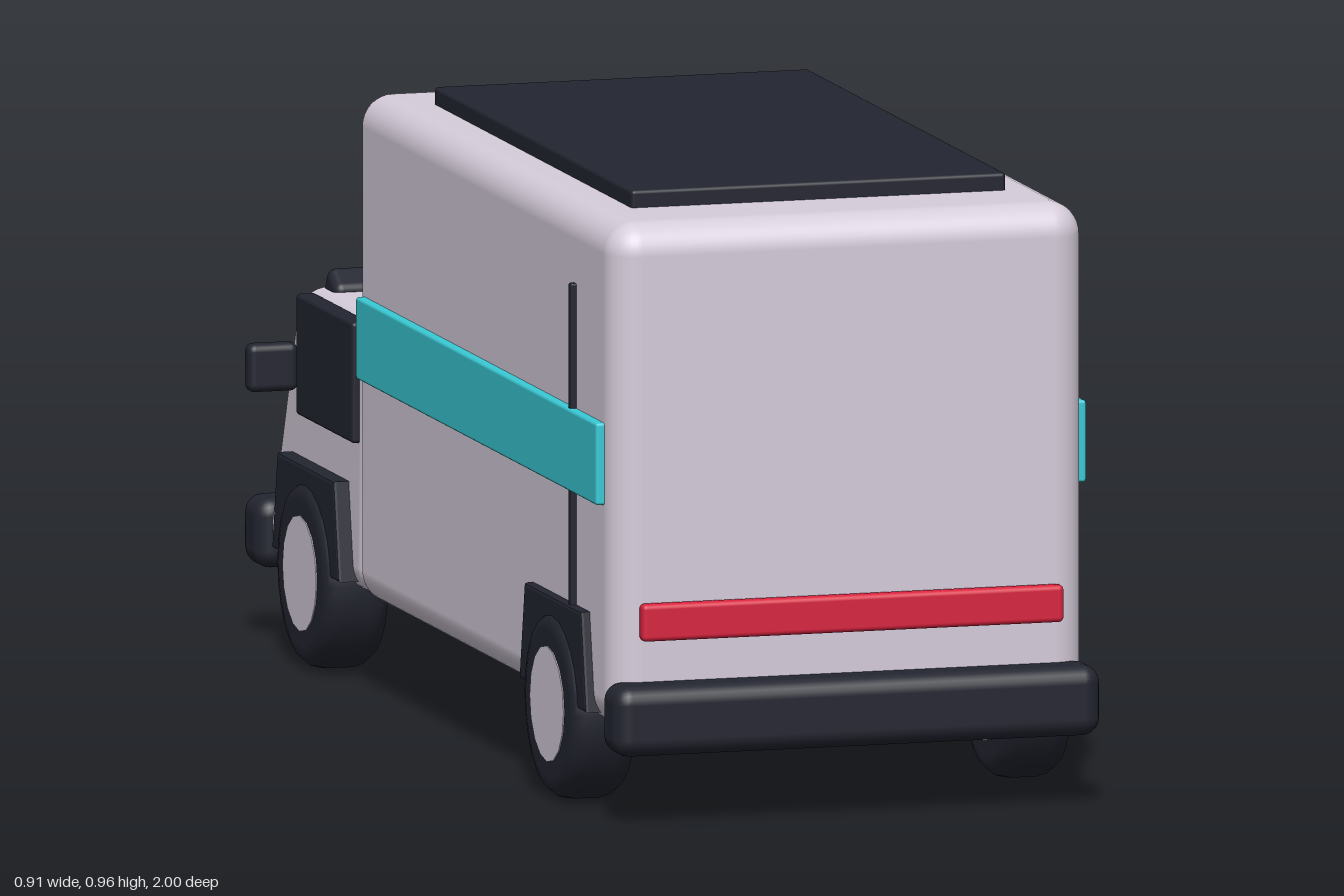
import * as THREE from 'three';
import { mergeVertices } from 'three/addons/utils/BufferGeometryUtils.js';
import { RoundedBoxGeometry } from 'three/addons/geometries/RoundedBoxGeometry.js';

const paint = (name, color) => Object.assign(new THREE.MeshStandardMaterial({ color }), { name });

export function createModel() {
  const van = new THREE.Group();
  van.name = 'van';
  const shell = paint('pale mauve', 0xd6cddb);
  const dark = paint('charcoal', 0x232530);
  const teal = paint('turquoise', 0x3acbd6);
  const red = paint('tail red', 0xd8233f);
  const cream = paint('lamp cream', 0xd0c49a);

  const add = (name, geometry, material) => {
    const mesh = new THREE.Mesh(geometry, material);
    mesh.name = name;
    van.add(mesh);
    return mesh;
  };
  // Rounded box given by its extents on each axis
  const block = (name, material, [x0, x1], [y0, y1], [z0, z1], radius, segments = 3) => {
    const g = new RoundedBoxGeometry(x1 - x0, y1 - y0, z1 - z0, segments, radius);
    g.translate((x0 + x1) / 2, (y0 + y1) / 2, (z0 + z1) / 2);
    return add(name, g, material);
  };

  // Cargo body and roof panel
  block('cargoBody', shell, [-0.38, 0.38], [0.14, 0.93], [-0.43, 0.945], 0.05, 5);
  block('roofPanel', dark, [-0.3, 0.3], [0.92, 0.957], [-0.27, 0.78], 0.006);

  // Cab: a rounded box whose front leans back towards the roof
  const cabRear = -0.4, cabDepth = 0.555;
  const cab = block('cab', shell, [-0.37, 0.37], [0.14, 0.575], [cabRear - cabDepth, cabRear], 0.045, 5);
  const p = cab.geometry.attributes.position;
  for (let i = 0; i < p.count; i++) {
    const rise = (p.getY(i) - 0.14) / 0.435;
    p.setZ(i, cabRear + (p.getZ(i) - cabRear) * (1 - 0.33 * rise));
  }
  cab.geometry.deleteAttribute('normal');
  cab.geometry.deleteAttribute('uv');
  cab.geometry = mergeVertices(cab.geometry);
  cab.geometry.computeVertexNormals();

  // Tilted windscreen, emerging at the roof and low on the nose
  const screen = add('windscreen', new RoundedBoxGeometry(0.67, 0.255, 0.06, 3, 0.015), dark);
  screen.position.set(0, 0.487, -0.767);
  screen.rotation.x = 0.55;

  // Bumpers and lamps
  block('rearBumper', dark, [-0.39, 0.39], [0.11, 0.22], [0.91, 1], 0.028);
  block('frontBumper', dark, [-0.39, 0.39], [0.11, 0.22], [-1, -0.91], 0.028);
  block('tailLight', red, [-0.338, 0.338], [0.285, 0.343], [0.942, 0.966], 0.008);

  // Wheel arch outline, across z and up y
  const archShape = new THREE.Shape([[-0.172, 0.165], [0.172, 0.165], [0.146, 0.308], [-0.146, 0.308]]
    .map(([a, b]) => new THREE.Vector2(a, b)));
  const archGeometry = new THREE.ExtrudeGeometry(archShape, {
    depth: 0.04, bevelThickness: 0.005, bevelSize: 0.005, bevelSegments: 2,
  });
  archGeometry.rotateY(Math.PI / 2).translate(-0.02, 0, 0);

  // Tyre cross-section with rounded shoulders
  const tyreGeometry = new THREE.LatheGeometry([
    [0, -0.05], [0.115, -0.053], [0.133, -0.049], [0.144, -0.036], [0.148, -0.02],
    [0.148, 0.02], [0.144, 0.036], [0.133, 0.049], [0.115, 0.053], [0, 0.05],
  ].map(([r, w]) => new THREE.Vector2(r, w)), 24).rotateZ(-Math.PI / 2);
  const hubGeometry = new THREE.CylinderGeometry(0.09, 0.09, 0.108, 16).rotateZ(-Math.PI / 2);

  for (const [side, s] of [['left', 1], ['right', -1]]) {
    const span = (a, b) => (s > 0 ? [a, b] : [-b, -a]);
    block(side + 'Stripe', teal, span(0.37, 0.393), [0.49, 0.618], [-0.38, 0.9], 0.005);
    block(side + 'DoorSeam', dark, span(0.37, 0.389), [0.2, 0.812], [0.738, 0.753], 0.003);
    block(side + 'CabWindow', dark, span(0.35, 0.382), [0.38, 0.568], [-0.735, -0.435], 0.006);
    block(side + 'Mirror', dark, span(0.375, 0.455), [0.415, 0.49], [-0.772, -0.738], 0.012);
    block(side + 'Headlight', cream, span(0.17, 0.328), [0.24, 0.294], [-0.986, -0.964], 0.006);
    for (const [end, z] of [['Front', -0.642], ['Rear', 0.673]]) {
      add(side + end + 'Arch', archGeometry, dark).position.set(s * 0.37, 0, z);
      add(side + end + 'Tyre', tyreGeometry, dark).position.set(s * 0.35, 0.148, z);
      add(side + end + 'Hub', hubGeometry, shell).position.set(s * 0.35, 0.148, z);
    }
  }
  return van;
}
